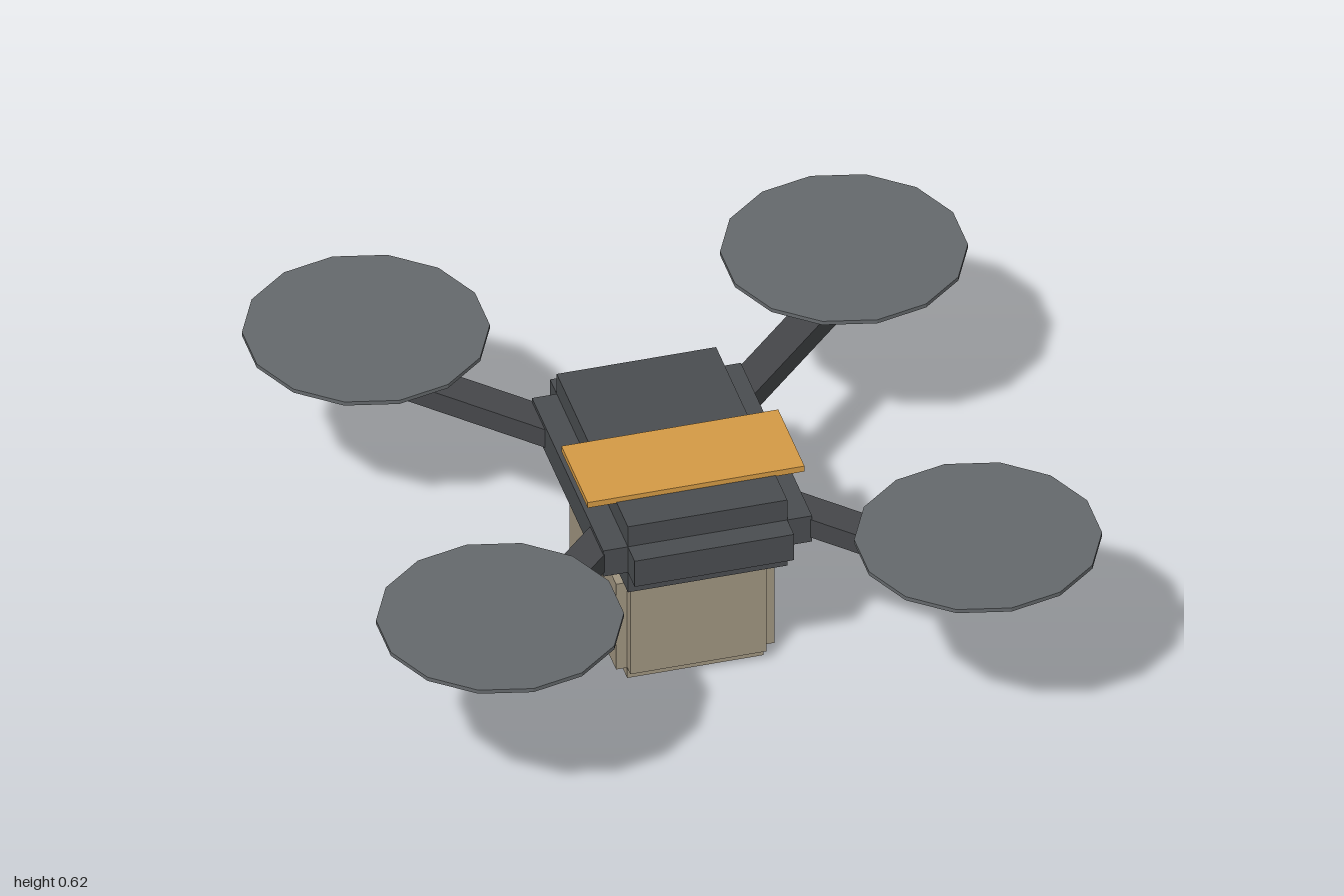
import * as THREE from 'three';

const mat = (color) => new THREE.MeshStandardMaterial({ color, flatShading: true });
const dark = mat(0x4a4d50);
const armMat = mat(0x45474a);
const rotorMat = mat(0x65696c);
const orange = mat(0xd49a45);
const tan = mat(0xa09580);
const red = mat(0xd84848);
const green = mat(0x3fd878);
const silver = mat(0xb4b4b4);

function add(parent, name, geometry, material, x, y, z) {
  const mesh = new THREE.Mesh(geometry, material);
  mesh.name = name;
  mesh.position.set(x, y, z);
  parent.add(mesh);
  return mesh;
}

const box = (w, h, d) => new THREE.BoxGeometry(w, h, d);
const disc = (r, h, sides) => new THREE.CylinderGeometry(r, r, h, sides);

// Box with stepped edges: three crossed boxes, each long along one axis.
// inner and outer hold the half sizes [x, y, z].
function steppedBox(name, inner, outer, material, y) {
  const group = new THREE.Group();
  group.name = name;
  ['side', 'upright', 'lengthwise'].forEach((label, axis) => {
    const s = inner.map((v, i) => 2 * (i === axis ? outer[i] : v));
    add(group, `${name} ${label} block`, box(...s), material, 0, y, 0);
  });
  return group;
}

export function createModel() {
  const drone = new THREE.Group();
  drone.name = 'deliveryDrone';

  // Body and the parcel hanging below it
  drone.add(steppedBox('body', [0.222, 0.043, 0.354], [0.291, 0.11, 0.421], dark, 0.493));
  drone.add(steppedBox('parcel', [0.19, 0.143, 0.233], [0.221, 0.178, 0.264], tan, 0.179));

  // Coloured band across the top
  add(drone, 'topStripe', box(0.604, 0.018, 0.262), orange, 0, 0.609, 0.109);

  // Four diagonal arms, each with a motor and a rotor disc
  for (const sx of [-1, 1]) {
    for (const sz of [-1, 1]) {
      const unit = new THREE.Group();
      unit.name = `${sz > 0 ? 'front' : 'back'}${sx > 0 ? 'Left' : 'Right'}Arm`;
      const from = 0.2, to = 0.582, mid = (from + to) / 2;
      const arm = add(unit, 'arm', box(0.095, 0.06, (to - from) * Math.SQRT2), armMat, sx * mid, 0.494, sz * mid);
      arm.rotation.y = Math.atan2(sx, sz);
      add(unit, 'motor', disc(0.075, 0.14, 10), dark, sx * 0.666, 0.537, sz * 0.667);
      add(unit, 'rotorDisc', disc(0.333, 0.012, 14), rotorMat, sx * 0.666, 0.613, sz * 0.667);
      drone.add(unit);
    }
  }

  // Navigation lights on the front motors and a tail light
  add(drone, 'leftLight', disc(0.047, 0.043, 8), green, 0.735, 0.493, 0.737);
  add(drone, 'rightLight', disc(0.047, 0.043, 8), red, -0.735, 0.493, 0.737);
  add(drone, 'tailLight', disc(0.044, 0.043, 8), silver, 0, 0.427, -0.446);

  return drone;
}
